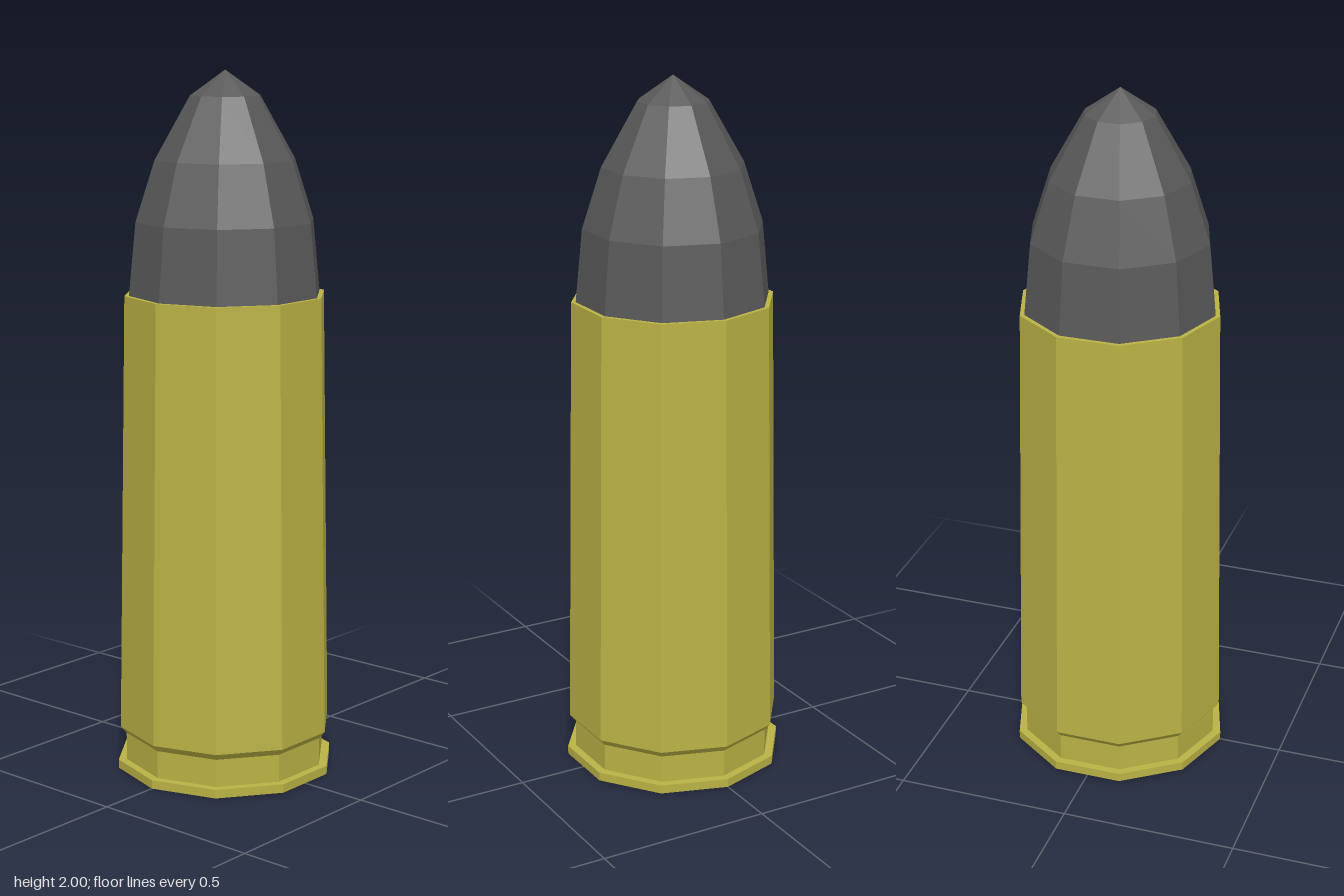
import * as THREE from 'three';

const SIDES = 10;

// Faceted solid of revolution with a corner on the x axis; profile runs bottom to top
function turned(name, profile, color) {
  const points = profile.map(([r, y]) => new THREE.Vector2(r, y));
  const geometry = new THREE.LatheGeometry(points, SIDES, Math.PI / 2);
  const material = new THREE.MeshStandardMaterial({ color, flatShading: true });
  const mesh = new THREE.Mesh(geometry, material);
  mesh.name = name;
  return mesh;
}

export function createModel() {
  const group = new THREE.Group();
  group.name = 'cartridge';

  // Brass case: base, rim, extractor groove, bevel, tapered wall, mouth
  group.add(turned('case', [
    [0, 0], [0.317, 0], [0.317, 0.025],
    [0.293, 0.025], [0.293, 0.105],
    [0.31, 0.125], [0.288, 1.38], [0.27, 1.38],
  ], 0xbab245));

  // Dark pointed bullet seated in the mouth
  group.add(turned('bullet', [
    [0.275, 1.38], [0.255, 1.585], [0.2, 1.755], [0.1, 1.93], [0, 2],
  ], 0x595959));

  return group;
}
